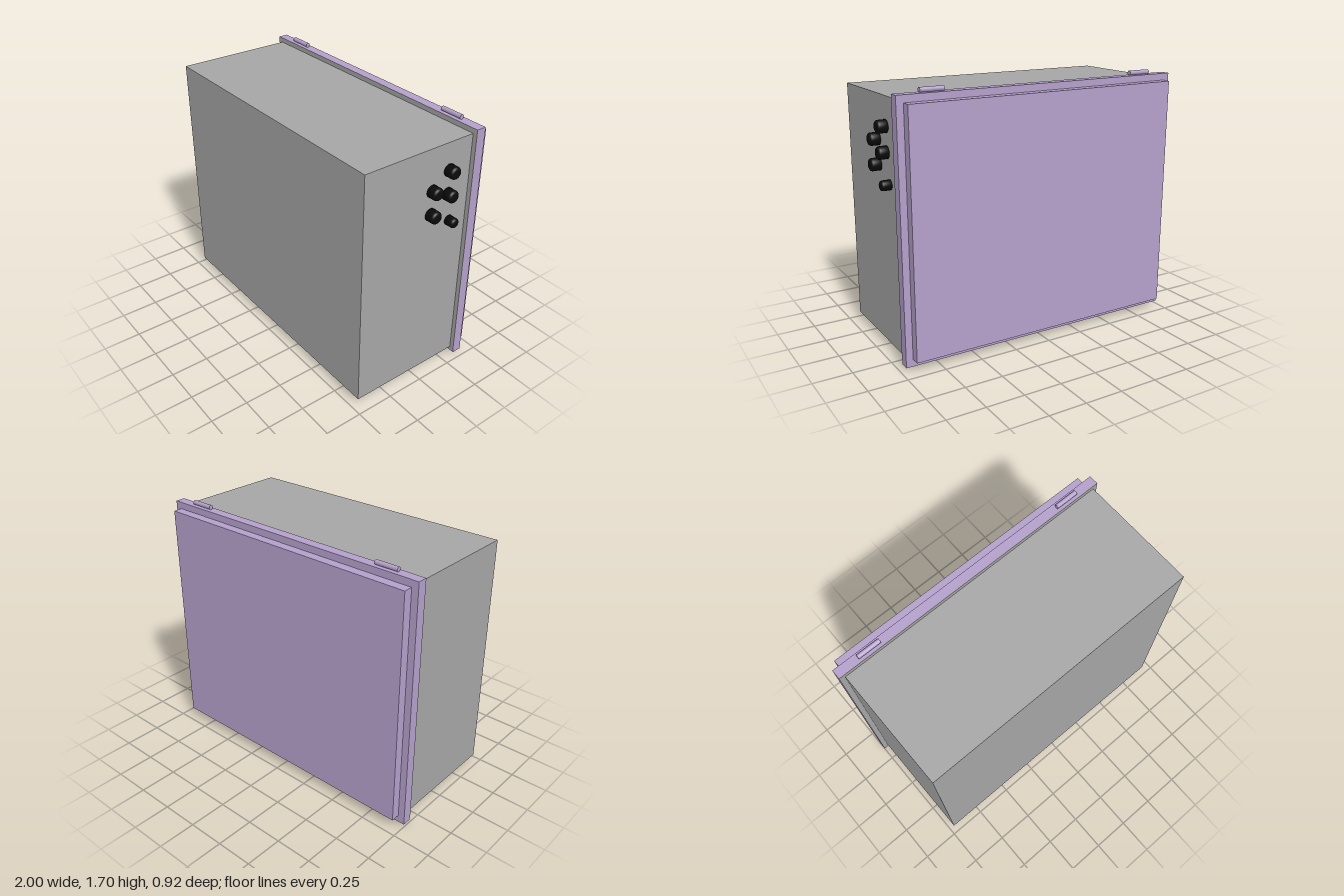
import * as THREE from 'three';

const grey = new THREE.MeshStandardMaterial({ color: 0xa6a6a6 });
grey.name = 'housing grey';
const purple = new THREE.MeshStandardMaterial({ color: 0xb4a0cb });
purple.name = 'door lilac';
const black = new THREE.MeshStandardMaterial({ color: 0x0b0b0b });
black.name = 'gland black';

export function createModel() {
  const model = new THREE.Group();
  model.name = 'wallCabinet';

  const add = (name, geometry, material, x = 0, y = 0, z = 0) => {
    const mesh = new THREE.Mesh(geometry, material);
    mesh.name = name;
    mesh.position.set(x, y, z);
    model.add(mesh);
    return mesh;
  };

  // Box given by its limits on each axis
  const block = (name, material, [x0, x1], [y0, y1], [z0, z1]) =>
    add(name, new THREE.BoxGeometry(x1 - x0, y1 - y0, z1 - z0), material,
      (x0 + x1) / 2, (y0 + y1) / 2, (z0 + z1) / 2);

  // Housing, the rim behind it and the raised door panel
  block('housing', grey, [-0.965, 0.935], [0.05, 1.638], [-0.337, 0.46]);
  block('rim', purple, [-1, 0.965], [0.02, 1.67], [-0.4, -0.338]);
  block('doorPanel', purple, [-0.955, 0.92], [0.068, 1.625], [-0.46, -0.4]);

  // Thin grey facing on the front of the rim, leaving the bottom strip bare
  block('rimFacing', grey, [-1, 0.965], [0.05, 1.67], [-0.338, -0.335]);

  // Hinge barrels on top
  for (const x of [-0.767, 0.733]) {
    const barrel = new THREE.CylinderGeometry(0.015, 0.015, 0.155, 24);
    add('hinge', barrel, purple, x, 1.685, -0.367).rotation.z = Math.PI / 2;
  }

  // Slanted catches under the rim
  const catchShape = new THREE.Shape([
    [0.245, 0], [0.335, 0], [0.362, 0.02], [0.26, 0.016],
  ].map(([z, y]) => new THREE.Vector2(z, y)));
  for (const x of [-0.815, -0.06, 0.69]) {
    const geometry = new THREE.ExtrudeGeometry(catchShape, { depth: 0.06, bevelEnabled: false });
    add('catch', geometry, purple, x).rotation.y = Math.PI / 2;
  }

  // Rounded cable glands on the side: y, z, radius
  const glands = [
    [1.46, -0.165, 0.04], [1.365, -0.04, 0.04], [1.305, -0.165, 0.04],
    [1.21, -0.04, 0.04], [1.115, -0.195, 0.032],
  ];
  const length = 0.065, round = 0.018;
  for (const [y, z, r] of glands) {
    const profile = [new THREE.Vector2(0, 0), new THREE.Vector2(r, 0)];
    for (let i = 0; i <= 5; i++) {
      const a = (i / 5) * Math.PI / 2;
      profile.push(new THREE.Vector2(r - round + round * Math.cos(a), length - round + round * Math.sin(a)));
    }
    profile.push(new THREE.Vector2(0, length));
    add('cableGland', new THREE.LatheGeometry(profile, 32), black, 0.935, y, z).rotation.z = -Math.PI / 2;
  }

  return model;
}
